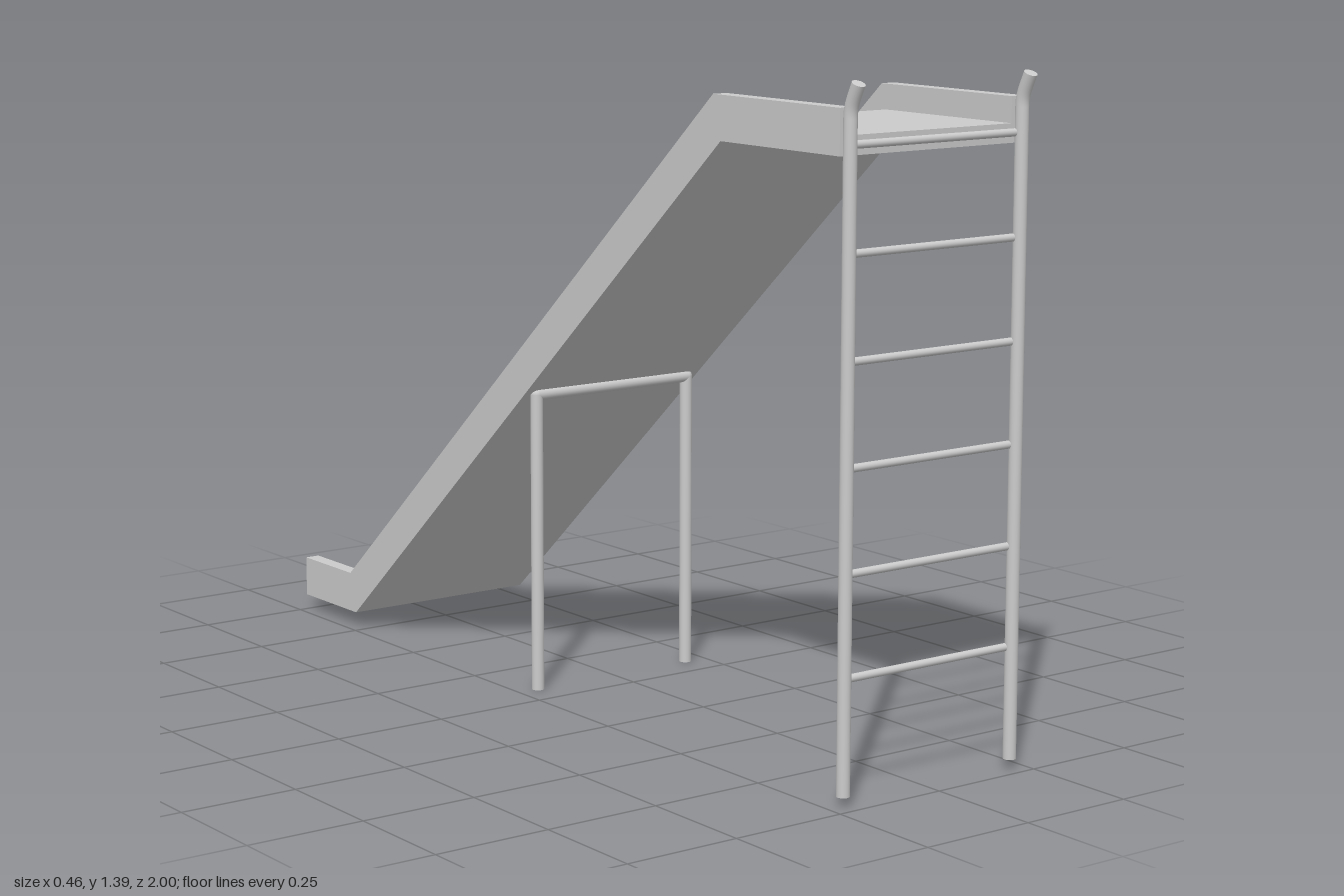
import * as THREE from 'three';

const material = new THREE.MeshStandardMaterial({ color: 0xcccccc });
const V = (x, y, z) => new THREE.Vector3(x, y, z);

export function createModel() {
  const group = new THREE.Group();

  const add = (name, geometry, parent = group) => {
    const mesh = new THREE.Mesh(geometry, material);
    mesh.name = name;
    parent.add(mesh);
    return mesh;
  };

  // Straight capped round bar between two points
  const bar = (name, a, b, radius, parent) => {
    const dir = b.clone().sub(a);
    const mesh = add(name, new THREE.CylinderGeometry(radius, radius, dir.length(), 20), parent);
    mesh.position.copy(a).add(b).multiplyScalar(0.5);
    mesh.quaternion.setFromUnitVectors(V(0, 1, 0), dir.normalize());
    return mesh;
  };

  // Side outline given as [z, y] points, extruded across x
  const extrudeAcross = (name, points, x, width) => {
    const shape = new THREE.Shape(points.map(([z, y]) => new THREE.Vector2(z, y)));
    const geometry = new THREE.ExtrudeGeometry(shape, { depth: width, bevelEnabled: false });
    geometry.translate(0, 0, -width / 2).rotateY(-Math.PI / 2);
    add(name, geometry).position.x = x;
  };

  // Chute: bed and two side walls share the same underside
  const underside = [[-1, 0.035], [-0.777, 0.035], [0.597, 1.245], [0.955, 1.245]];
  const bedTop = [[0.955, 1.283], [0.586, 1.283], [-0.789, 0.073], [-1, 0.073]];
  const wallTop = [[0.955, 1.335], [0.573, 1.335], [-0.8, 0.125], [-1, 0.125]];
  extrudeAcross('slideBed', [...underside, ...bedTop], 0, 0.396);
  for (const side of [-1, 1]) {
    extrudeAcross(side > 0 ? 'leftWall' : 'rightWall', [...underside, ...wallTop], side * 0.2145, 0.033);
  }
  // Rounded lip below the exit
  bar('exitLip', V(-0.2, 0.037, -0.981), V(0.2, 0.037, -0.981), 0.012);

  // Ladder: rails that curve forward into handles, with rungs between
  const ladder = new THREE.Group();
  ladder.name = 'ladder';
  group.add(ladder);
  const railZ = 0.966;
  const railRadius = 0.0135;
  for (const side of [-1, 1]) {
    const name = side > 0 ? 'leftRail' : 'rightRail';
    const x = side * 0.215;
    bar(name, V(x, 0.02, railZ), V(x, 1.315, railZ), railRadius, ladder);
    const bend = new THREE.CubicBezierCurve3(
      V(x, 1.315, railZ), V(x, 1.34, railZ), V(x, 1.352, 0.975), V(x, 1.381, 0.988));
    add(name + 'Handle', new THREE.TubeGeometry(bend, 12, railRadius, 20), ladder);
    const cap = add(name + 'Cap', new THREE.CircleGeometry(railRadius, 20), ladder);
    cap.position.copy(bend.getPoint(1));
    cap.quaternion.setFromUnitVectors(V(0, 0, 1), bend.getTangent(1));
  }
  for (let i = 0; i < 6; i++) {
    const y = 0.248 + i * 0.2035;
    bar('rung', V(-0.21, y, 0.96), V(0.21, y, 0.96), 0.008, ladder);
  }

  // Support frame under the middle of the chute
  const frame = new THREE.Group();
  frame.name = 'supportFrame';
  group.add(frame);
  const legZ = -0.077;
  const legTop = 0.648;
  for (const side of [-1, 1]) {
    const x = side * 0.2;
    bar('supportLeg', V(x, 0, legZ), V(x, legTop, legZ), railRadius, frame);
    add('frameCorner', new THREE.SphereGeometry(railRadius, 20, 12), frame).position.set(x, legTop, legZ);
  }
  bar('crossbar', V(-0.2, legTop, legZ), V(0.2, legTop, legZ), railRadius, frame);

  return group;
}
